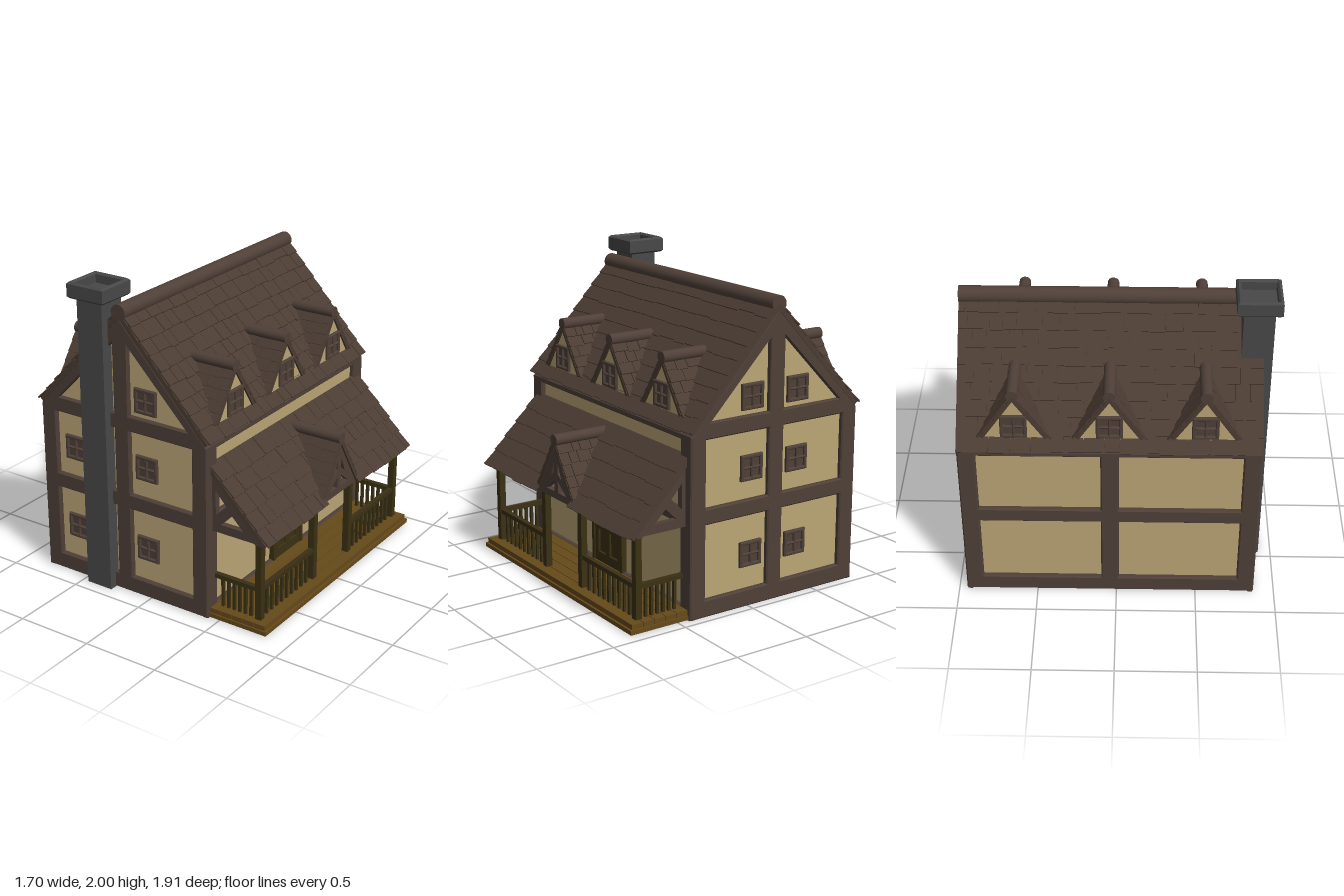
import * as THREE from 'three';
import { mergeGeometries } from 'three/addons/utils/BufferGeometryUtils.js';

const mat = (color) => new THREE.MeshStandardMaterial({ color, side: THREE.DoubleSide });
const TIMBER = mat(0x4f4038), PLASTER = mat(0xbba575), TILE = mat(0x4b3c33),
  STONE = mat(0x484848), OLIVE = mat(0x3b3014), DECK = mat(0x664a1a);
const CX = -0.195, CZ = -0.04; // centre of the house

let seed = 7;
const rnd = () => (seed = (seed * 16807) % 2147483647) / 2147483647;

function add(parent, name, geo, material) {
  const m = new THREE.Mesh(geo, material);
  m.name = name;
  parent.add(m);
  return m;
}

// box given by its limits
function boxGeo(x0, x1, y0, y1, z0, z1) {
  return new THREE.BoxGeometry(x1 - x0, y1 - y0, z1 - z0)
    .translate((x0 + x1) / 2, (y0 + y1) / 2, (z0 + z1) / 2);
}
const box = (p, name, m, ...lim) => add(p, name, boxGeo(...lim), m);

// flat panel with holes, its front face at z = 0 and its depth behind
const path = (pts) => pts.map(([x, y]) => new THREE.Vector2(x, y));
const rect = (x0, x1, y0, y1) => [[x0, y0], [x1, y0], [x1, y1], [x0, y1]];
const flip = (pts) => pts.map(([x, y]) => [-x, y]);
function panelGeo(outline, holes, depth, bevel = 0) {
  const s = new THREE.Shape(path(outline));
  s.holes = holes.map((h) => new THREE.Path(path(h)));
  return new THREE.ExtrudeGeometry(s, {
    depth: depth - bevel, bevelEnabled: bevel > 0, bevelSize: bevel,
    bevelThickness: bevel, bevelOffset: -bevel, bevelSegments: 1,
  }).translate(0, 0, -depth);
}

function place(obj, x, y, z, rotY = 0) {
  obj.position.set(x, y, z);
  obj.rotation.y = rotY;
  return obj;
}

// tiled roof plane: pts are (along ridge, down slope), P the ridge end,
// D the ridge direction and V the way down
function slope(parent, name, pts, P, D, V, h, thick = 0.03) {
  V.normalize();
  const N = new THREE.Vector3().crossVectors(D, V).normalize();
  if (N.y < 0) N.negate();
  const U = new THREE.Vector3().crossVectors(N, V);
  const s = Math.sign(U.dot(D));
  const g = new THREE.Group();
  g.name = name;
  g.applyMatrix4(new THREE.Matrix4().makeBasis(U, N, V).setPosition(P));
  parent.add(g);
  add(g, name + 'Slab', panelGeo(pts.map(([u, v]) => [s * u, -v]), [], thick).rotateX(-Math.PI / 2), TILE);
  const len = Math.max(...pts.map((p) => p[1]));
  const rows = Math.round(len / h), rh = len / rows, tiles = [];
  for (let r = 0; r < rows; r++) {
    // where this course enters and leaves the outline
    const v = (r + 0.5) * rh, cuts = [];
    pts.forEach(([u0, v0], i) => {
      const [u1, v1] = pts[(i + 1) % pts.length];
      if ((v0 < v) !== (v1 < v)) cuts.push(u0 + (u1 - u0) * (v - v0) / (v1 - v0));
    });
    cuts.sort((a, b) => a - b);
    for (let c = 0; c < cuts.length; c += 2) {
      let u = cuts[c];
      while (u < cuts[c + 1] - 0.002) {
        let w = rh * (0.7 + 0.9 * rnd());
        if (cuts[c + 1] - u - w < rh * 0.4) w = cuts[c + 1] - u;
        const l = rh + 0.01 + 0.012 * rnd();
        tiles.push(new THREE.BoxGeometry(w - 0.004, 0.01, l).rotateX(-0.09)
          .translate(s * (u + w / 2), 0.006 + 0.003 * rnd(), r * rh + l / 2));
        u += w;
      }
    }
  }
  add(g, name + 'Tiles', mergeGeometries(tiles), TILE);
}

// square window with four panes, facing +z
function makeWindow() {
  const g = new THREE.Group();
  g.name = 'window';
  const panes = [];
  for (const x of [-0.058, 0.007]) for (const y of [-0.058, 0.007]) panes.push(rect(x, x + 0.051, y, y + 0.051));
  add(g, 'windowFrame', panelGeo(rect(-0.08, 0.08, -0.08, 0.08), panes, 0.03, 0.005), TIMBER);
  box(g, 'windowPanes', TIMBER, -0.07, 0.07, -0.07, 0.07, -0.03, -0.015);
  return g;
}

// small gabled roof facing +z, ridge running back
function gableRoof(parent, name, ridgeY, halfW, drop, depth) {
  const len = Math.hypot(halfW, drop);
  for (const s of [-1, 1]) {
    slope(parent, name + 'Slope', [[0, 0], [depth, 0], [0.02, len], [0, len]], new THREE.Vector3(0, ridgeY, 0),
      new THREE.Vector3(0, 0, -1), new THREE.Vector3(s * halfW, -drop, 0), 0.075, 0.02);
  }
  add(parent, name + 'RidgeRoll', new THREE.CylinderGeometry(0.037, 0.037, depth, 16)
    .rotateX(Math.PI / 2).translate(0, ridgeY + 0.004, -depth / 2), TIMBER);
}

function makeDormer() {
  const g = new THREE.Group();
  g.name = 'dormer';
  add(g, 'dormerWall', panelGeo([[-0.195, 1.21], [0.195, 1.21], [0, 1.495]], [], 0.03), PLASTER).position.z = -0.013;
  g.add(place(makeWindow(), 0, 1.31, 0.004));
  gableRoof(g, 'dormer', 1.53, 0.2, 0.3, 0.31);
  return g;
}

function buildHouse(root) {
  // plaster core
  const wall = [[-0.595, 0.01], [0.595, 0.01], [0.595, 1.14], [0, 1.79], [-0.595, 1.14]];
  place(add(root, 'plasterWalls', panelGeo(wall, [], 1.76), PLASTER), CX, 0, 0.84);

  // gable timber frames, front and back
  const half = [rect(0.055, 0.515, 0.11, 0.58), rect(0.055, 0.515, 0.68, 1.1), [[0.055, 1.2], [0.485, 1.2], [0.055, 1.645]]];
  const outline = [[-0.625, 0], [0.625, 0], [0.625, 1.13], [0, 1.81], [-0.625, 1.13]];
  const gable = panelGeo(outline, [...half, ...half.map(flip)], 0.035, 0.008);
  place(add(root, 'frontTimberFrame', gable, TIMBER), CX, 0, 0.87);
  place(add(root, 'backTimberFrame', gable, TIMBER), CX, 0, -0.95, Math.PI);

  // side timber frames
  const sideOut = rect(-0.905, 0.905, 0, 1.14), bays = [];
  for (const [y0, y1] of [[0.11, 0.58], [0.68, 1.1]]) bays.push(rect(0.055, 0.8, y0, y1), rect(-0.8, -0.055, y0, y1));
  place(add(root, 'rightTimberFrame', panelGeo(sideOut, bays, 0.035, 0.008), TIMBER), -0.82, 0, CZ, -Math.PI / 2);
  const wide = [rect(-0.8, 0.8, 0.07, 0.58), rect(-0.8, 0.8, 0.68, 1.1)];
  place(add(root, 'leftTimberFrame', panelGeo(sideOut, wide, 0.035, 0.008), TIMBER), 0.43, 0, CZ, Math.PI / 2);

  // gable windows
  for (const [x, y] of [[-0.57, 0.33], [-0.025, 0.33], [-0.57, 0.873], [-0.025, 0.873], [-0.025, 1.31]])
    root.add(place(makeWindow(), x, y, 0.86));
  for (const x of [-0.365, -0.025]) for (const y of [0.33, 0.873, 1.31])
    root.add(place(makeWindow(), x, y, -0.94, Math.PI));

  // main roof
  for (const s of [-1, 1]) {
    slope(root, 'mainRoof', [[0, 0], [1.82, 0], [1.82, 0.935], [0, 0.935]], new THREE.Vector3(CX, 1.85, 0.87),
      new THREE.Vector3(0, 0, -1), new THREE.Vector3(s * 0.64, -0.7, 0), 0.104);
    for (const z of [0.525, CZ, -0.605]) root.add(place(makeDormer(), CX + s * 0.6, 0, z, s * Math.PI / 2));
  }
  add(root, 'ridgeRoll', new THREE.CylinderGeometry(0.052, 0.052, 1.82, 20)
    .rotateX(Math.PI / 2).translate(CX, 1.84, CZ), TIMBER);

  // chimney
  box(root, 'chimneyShaft', STONE, -0.46, -0.275, 0, 1.92, 0.735, 0.92);
  box(root, 'chimneyCapBase', STONE, -0.49, -0.245, 1.912, 1.935, 0.705, 0.95);
  const cap = panelGeo(rect(-0.133, 0.133, -0.133, 0.133), [rect(-0.105, 0.105, -0.105, 0.105)], 0.09, 0.012);
  add(root, 'chimneyCap', cap.rotateX(-Math.PI / 2), STONE).position.set(-0.367, 2, 0.827);
}

function buildPorch(root) {
  const g = new THREE.Group();
  g.name = 'porch';
  root.add(g);
  // deck
  box(g, 'deckBase', DECK, 0.42, 0.835, 0.005, 0.032, CZ - 0.89, CZ + 0.89);
  for (let i = 0; i < 5; i++) box(g, 'deckPlank', DECK, 0.43 + i * 0.079, 0.505 + i * 0.079, 0.03, 0.064, CZ - 0.88, CZ + 0.88);

  // door with four panels
  const door = new THREE.Group();
  door.name = 'door';
  const panels = [];
  for (const x of [-0.105, 0.025]) panels.push(rect(x, x + 0.08, 0.13, 0.28), rect(x, x + 0.08, 0.35, 0.48));
  add(door, 'doorLeaf', panelGeo(rect(-0.15, 0.15, 0.06, 0.55), panels, 0.03, 0.004), OLIVE).position.z = -0.006;
  add(door, 'doorFrame', panelGeo(rect(-0.175, 0.175, 0.06, 0.575), [rect(-0.15, 0.15, 0.061, 0.55)], 0.035), OLIVE);
  box(door, 'doorPanels', OLIVE, -0.14, 0.14, 0.07, 0.54, -0.035, -0.018);
  g.add(place(door, 0.435, 0, CZ, Math.PI / 2));

  // railing from one point to another
  const rail = (x0, z0, x1, z1, n) => {
    const r = 0.016, lim = (y0, y1) => [Math.min(x0, x1) - r, Math.max(x0, x1) + r, y0, y1, Math.min(z0, z1) - r, Math.max(z0, z1) + r];
    box(g, 'handRail', OLIVE, ...lim(0.25, 0.278));
    for (let i = 1; i <= n; i++) {
      const t = i / (n + 1), x = x0 + (x1 - x0) * t, z = z0 + (z1 - z0) * t;
      box(g, 'baluster', OLIVE, x - 0.009, x + 0.009, 0.06, 0.255, z - 0.009, z + 0.009);
    }
  };
  const truss = panelGeo([[0.42, 0.58], [0.785, 0.58], [0.42, 0.95]],
    [[[0.49, 0.635], [0.65, 0.635], [0.57, 0.715]], [[0.455, 0.69], [0.455, 0.85], [0.53, 0.765]]], 0.04);
  for (const s of [-1, 1]) {
    for (const d of [0.215, 0.815]) {
      const z = CZ + s * d;
      box(g, 'porchPost', OLIVE, 0.724, 0.766, 0.06, 0.59, z - 0.021, z + 0.021);
    }
    rail(0.745, CZ + s * 0.235, 0.745, CZ + s * 0.795, 9);
    rail(0.44, CZ + s * 0.815, 0.725, CZ + s * 0.815, 6);
    add(g, 'sideTruss', truss, TIMBER).position.z = CZ + s * 0.835 + 0.02;
  }
  box(g, 'eaveBeam', TIMBER, 0.725, 0.765, 0.57, 0.605, CZ - 0.85, CZ + 0.85);

  // lean-to roof, notched for the entrance gable
  slope(g, 'porchRoof', [[0, 0], [1.74, 0], [1.74, 0.59], [1.085, 0.59], [0.87, 0.13], [0.655, 0.59], [0, 0.59]],
    new THREE.Vector3(0.41, 1.015, 0.83), new THREE.Vector3(0, 0, -1), new THREE.Vector3(0.415, -0.43, 0), 0.118);

  // entrance gable
  const entry = new THREE.Group();
  entry.name = 'entranceGable';
  const half = [[[0.02, 0.625], [0.12, 0.625], [0.02, 0.7]], [[0.02, 0.75], [0.065, 0.715], [0.02, 0.82]]];
  add(entry, 'gableTruss', panelGeo([[-0.215, 0.58], [0.215, 0.58], [0, 0.92]], [...half, ...half.map(flip)], 0.035), TIMBER).position.z = -0.012;
  gableRoof(entry, 'entrance', 0.955, 0.235, 0.375, 0.38);
  g.add(place(entry, 0.81, 0, CZ, Math.PI / 2));
}

export function createModel() {
  seed = 7;
  const root = new THREE.Group();
  root.name = 'timberHouse';
  buildHouse(root);
  buildPorch(root);
  return root;
}
